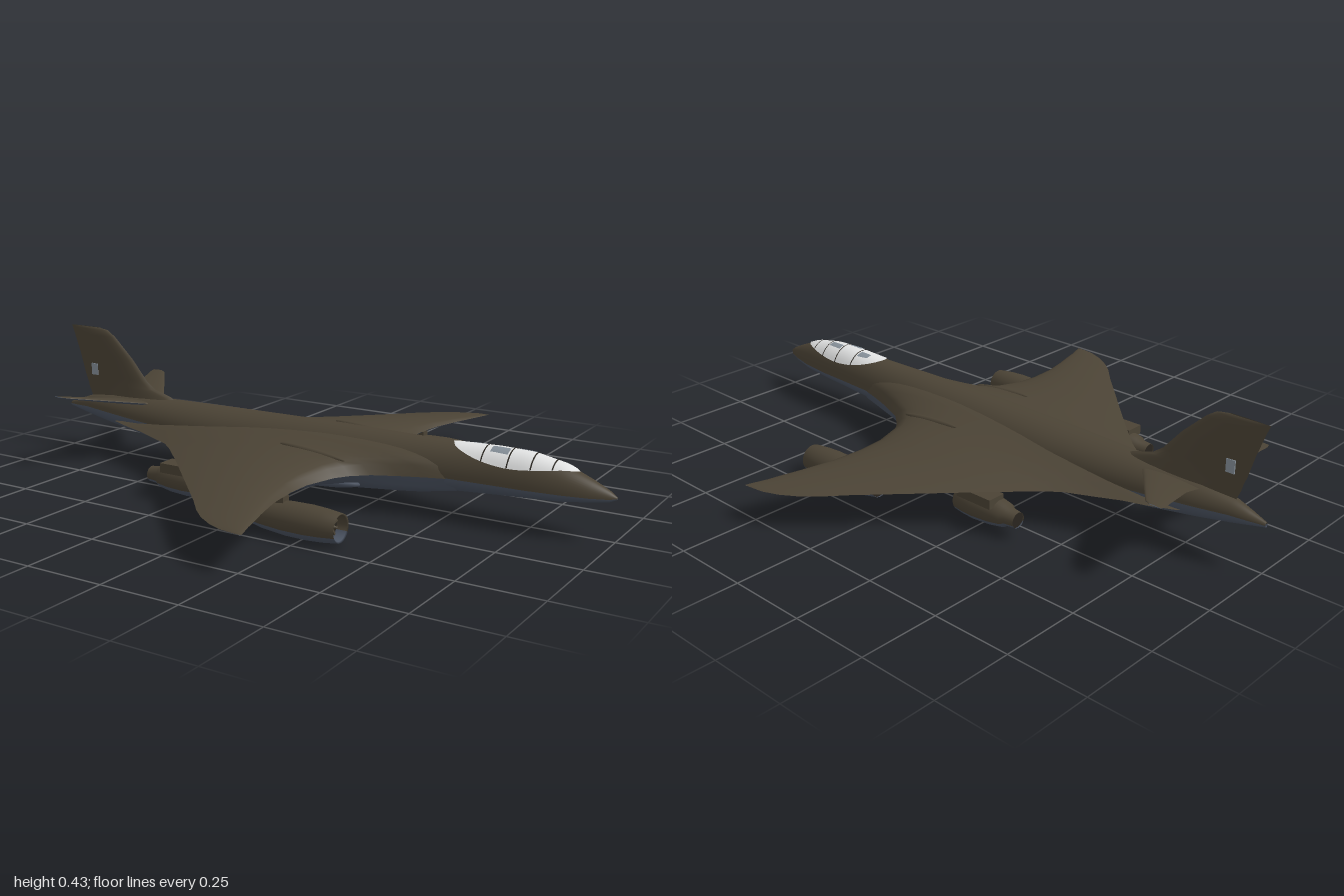
import * as THREE from 'three';

const mat = (name, color, side = THREE.DoubleSide) => {
  const m = new THREE.MeshStandardMaterial({ color, side });
  m.name = name;
  return m;
};

// Fuselage stations: x, half width, top y, widest y, bottom y
const STATIONS = [
  [-1, .006, .16, .152, .145], [-.95, .02, .178, .155, .135], [-.9, .032, .195, .158, .125],
  [-.8, .052, .21, .155, .108], [-.65, .072, .218, .148, .085], [-.5, .085, .22, .14, .07],
  [-.3, .1, .222, .133, .057], [0, .1, .225, .13, .053], [.2, .095, .225, .13, .06],
  [.35, .085, .224, .13, .068], [.5, .075, .222, .13, .078], [.65, .069, .227, .13, .088],
  [.75, .066, .224, .13, .094], [.85, .056, .205, .13, .1], [.93, .035, .172, .128, .11],
  [.98, .016, .148, .128, .118], [1, .003, .133, .13, .127],
];

// Point on the fuselage skin; angle is measured from straight up
function skin(x, angle, off = 0) {
  let i = 0;
  while (i < STATIONS.length - 2 && x > STATIONS[i + 1][0]) i++;
  const a = STATIONS[i], b = STATIONS[i + 1];
  const t = (x - a[0]) / (b[0] - a[0]);
  const [w, top, mid, bot] = [1, 2, 3, 4].map(k => a[k] + (b[k] - a[k]) * t);
  const c = Math.cos(angle);
  return [x, mid + c * ((c > 0 ? top - mid : mid - bot) + off), Math.sin(angle) * (w + off)];
}

// Smooth skin over a grid of points
function loft(rows) {
  const n = rows[0].length, index = [];
  for (let i = 0; i < rows.length - 1; i++)
    for (let j = 0; j < n - 1; j++) {
      const a = i * n + j, b = a + n;
      index.push(a, a + 1, b, b, a + 1, b + 1);
    }
  const g = new THREE.BufferGeometry();
  g.setAttribute('position', new THREE.Float32BufferAttribute(rows.flat(2), 3));
  g.setIndex(index);
  g.computeVertexNormals();
  return g;
}

// One face of an aerofoil panel. Rows: span, leading x, trailing x, top, bottom, edge height
function foil(rows, upper) {
  return loft(rows.map(([z, le, te, top, bot, mid]) => {
    const pts = [];
    for (let j = 0; j <= 16; j++) {
      const u = (j / 16) ** 2 * .5 + (j / 16) * .5;
      const hump = 2.6 * Math.sqrt(u) * (1 - u);
      pts.push([le + (te - le) * u, mid + ((upper ? top : bot) - mid) * hump, z]);
    }
    return upper ? pts.reverse() : pts;
  }));
}

const WING = [
  [.03, .62, -.78, .205, .055, .13], [.06, .57, -.75, .205, .055, .13], [.09, .45, -.67, .198, .056, .127],
  [.11, .38, -.6, .193, .058, .125], [.14, .3, -.53, .187, .064, .123], [.18, .25, -.44, .18, .074, .122],
  [.22, .22, -.39, .174, .083, .121], [.32, .19, -.285, .16, .095, .12], [.4, .187, -.205, .15, .1, .119],
  [.5, .197, -.105, .14, .104, .118], [.6, .222, -.005, .131, .108, .117], [.66, .24, .05, .126, .11, .116],
  [.7, .25, .095, .123, .111, .115], [.735, .262, .15, .12, .111, .115], [.755, .268, .2, .118, .112, .115],
  [.763, .27, .26, .115, .114, .115],
];
const TAIL = [
  [.02, -.6, -.8, .207, .192, .2], [.09, -.655, -.8, .22, .205, .213],
  [.25, -.78, -.84, .247, .239, .243], [.262, -.8, -.838, .247, .245, .246],
];
const FIN = [
  [.19, -.5, -.9, .028], [.225, -.55, -.915, .02], [.245, -.62, -.92, .016], [.27, -.655, -.93, .014],
  [.34, -.715, -.95, .012], [.41, -.79, -.975, .01], [.43, -.82, -.983, .008], [.437, -.86, -.985, .002],
].map(([y, le, te, t]) => [y, le, te, t, -t, 0]);

// Engine outlines: radius, x
const FRONT_POD = [[.03, .06], [.042, .12], [.05, .2], [.051, .27], [.048, .32], [.042, .37], [.037, .367], [.037, .33]];
const REAR_POD = [[.024, -.39], [.028, -.355], [.036, -.345], [.044, -.3], [.048, -.24], [.046, -.2], [.042, -.17], [.037, -.173], [.037, -.2]];

export function createModel() {
  const root = new THREE.Group();
  root.name = 'jetAircraft';
  const brown = mat('olive brown', 0x4b4335);
  const grey = mat('belly grey', 0x4a5260);
  const white = mat('canopy white', 0xe2e3e3);
  const pane = mat('pane grey', 0x87919a);
  const dark = mat('dark trim', 0x29251f);

  const add = (parent, name, geo, material, x = 0, y = 0, z = 0) => {
    const m = new THREE.Mesh(geo, material);
    m.name = name;
    m.position.set(x, y, z);
    parent.add(m);
    return m;
  };

  // Patch of fuselage skin between two stations
  const body = (name, from, to, material) => add(root, name, loft(STATIONS.map(([x]) =>
    Array.from({ length: 25 }, (_, j) => skin(x, to + (from - to) * j / 24)))), material);
  body('upperFuselage', -Math.PI / 2, Math.PI / 2, brown);
  body('lowerFuselage', Math.PI / 2, Math.PI * 1.5, grey);

  // Canopy glazing, panes and frames hug the fuselage
  const C0 = .5, C1 = .89;
  const canopyPatch = (name, x0, x1, a0, a1, off, material) => {
    const rows = [];
    for (let i = 0; i <= 24; i++) {
      const x = x0 + (x1 - x0) * i / 24;
      const u = Math.min(1, Math.max(0, (x - C0) / (C1 - C0)));
      const half = Math.sqrt(Math.sin(Math.PI * u) + 1e-6);
      rows.push(Array.from({ length: 17 }, (_, j) => skin(x, half * (a1 + (a0 - a1) * j / 16), off)));
    }
    add(root, name, loft(rows), material);
  };
  canopyPatch('canopy', C0, C1, -1, 1, .003, white);
  for (const x of [.61, .69, .76, .82]) canopyPatch('canopyFrame', x, x + .004, -1, 1, .0045, dark);
  canopyPatch('canopyPane', .63, .685, .1, .5, .004, pane);
  canopyPatch('canopyPane', .7, .755, -.4, -.1, .004, pane);
  canopyPatch('canopyPane', .56, .605, -.5, -.1, .004, pane);

  // Fin with small grey plates
  for (const upper of [true, false])
    add(root, 'tailFin', foil(FIN, upper).rotateX(-Math.PI / 2), brown);
  for (const s of [1, -1])
    add(root, 'finPlate', new THREE.BoxGeometry(.028, .04, .004), pane, -.88, .29, s * .0075);

  // Engine pod facing forward
  const engine = (parent, name, profile, y, z, fanX) => {
    const pod = new THREE.Group();
    pod.name = name;
    pod.position.set(0, y, z);
    parent.add(pod);
    const pts = profile.map(p => new THREE.Vector2(...p));
    const shell = (label, start, length, material) => add(pod, label,
      new THREE.LatheGeometry(pts, 20, start, length).rotateZ(-Math.PI / 2), material);
    shell('lowerCowling', Math.PI * .15, Math.PI * .7, grey);
    shell('upperCowling', Math.PI * .85, Math.PI * 1.3, brown);
    add(pod, 'intake', new THREE.CircleGeometry(.038, 24).rotateY(Math.PI / 2), dark, fanX);
    add(pod, 'spinner', new THREE.ConeGeometry(.012, .025, 16).rotateZ(-Math.PI / 2), brown, fanX + .013);
    for (let i = 0; i < 10; i++) {
      const blade = new THREE.BoxGeometry(.004, .026, .006).translate(0, .022, 0).rotateX(i * Math.PI / 5);
      add(pod, 'fanBlade', blade, brown, fanX + .003);
    }
    const [r, x] = profile[0];
    add(pod, 'exhaust', new THREE.CircleGeometry(r, 20).rotateY(-Math.PI / 2), dark, x + .004);
  };

  // Everything that is mirrored across the centre line
  for (const s of [1, -1]) {
    const half = new THREE.Group();
    half.name = s > 0 ? 'rightHalf' : 'leftHalf';
    half.scale.z = s;
    root.add(half);
    add(half, 'wingTop', foil(WING, true), brown);
    add(half, 'wingUnderside', foil(WING, false), grey);
    add(half, 'tailplaneTop', foil(TAIL, true), brown);
    add(half, 'tailplaneUnderside', foil(TAIL, false), grey);

    engine(half, 'frontEngine', FRONT_POD, .054, .43, .335);
    engine(half, 'rearEngine', REAR_POD, .063, .31, -.195);
    add(half, 'frontPylon', new THREE.BoxGeometry(.13, .035, .03), brown, .125, .1, .43);
    add(half, 'rearPylon', new THREE.BoxGeometry(.13, .03, .06), brown, -.255, .103, .325);

    // Ridge above the wing root and fairing below it
    const ridge = add(half, 'wingRidge', new THREE.SphereGeometry(1, 20, 12), brown, .11, .172, .165);
    ridge.scale.set(.115, .012, .011);
    ridge.rotation.z = -.1;
    const fairing = add(half, 'bellyFairing', new THREE.SphereGeometry(1, 24, 14), grey, .02, .09, .15);
    fairing.scale.set(.25, .024, .045);
  }
  return root;
}
